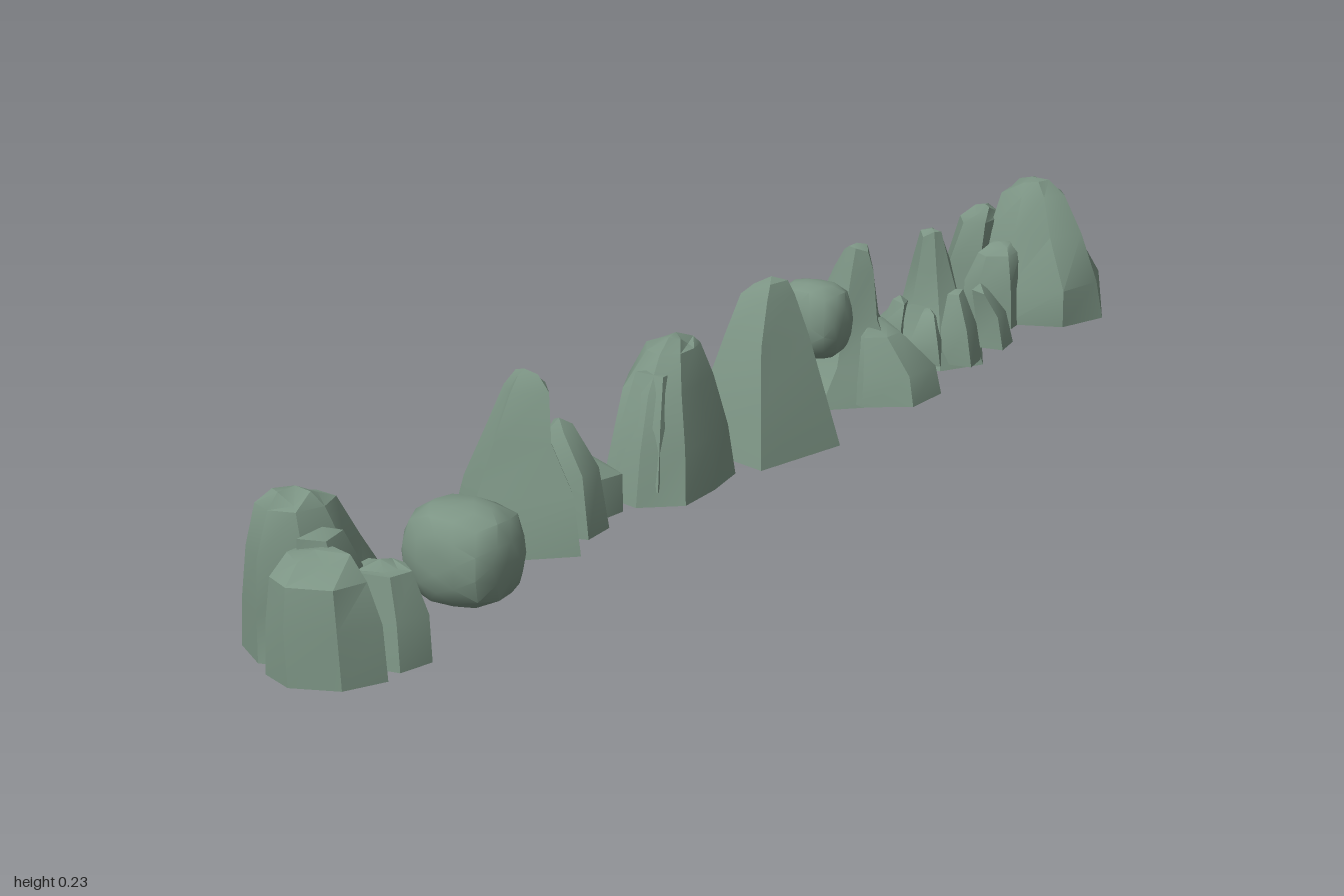
import * as THREE from 'three';
import { mergeVertices, toCreasedNormals } from 'three/addons/utils/BufferGeometryUtils.js';

const stone = new THREE.MeshStandardMaterial({ color: 0x7c9484 });
stone.name = 'grey green stone';

// Repeatable noise in -1..1 from a position
const noise = (x, y, z) => {
  const s = Math.sin(x * 127.1 + y * 311.7 + z * 74.7) * 43758.5453;
  return (s - Math.floor(s)) * 2 - 1;
};

function finish(geometry, name, crease) {
  const mesh = new THREE.Mesh(toCreasedNormals(geometry, crease), stone);
  mesh.name = name;
  return mesh;
}

// Crag: a footprint of [x, z] corners lofted through levels [y, scale, centreX, centreZ]
function crag(name, y0, corners, levels) {
  const n = corners.length;
  const cx = corners.reduce((s, p) => s + p[0], 0) / n;
  const cz = corners.reduce((s, p) => s + p[1], 0) / n;
  const foot = corners.map(([x, z]) => [x - cx, z - cz])
    .sort((a, b) => Math.atan2(a[1], a[0]) - Math.atan2(b[1], b[0]));
  const rings = [[y0, 1, cx, cz], ...levels];
  const pos = [], index = [];
  rings.forEach(([y, s, x, z], k) => foot.forEach(([px, pz], i) => {
    const r = k ? s * (1 + 0.1 * noise(i + cx, k, cz)) : s;
    const dy = k === rings.length - 1 ? 0.008 * (noise(i, k + cx, cz) - 1) : 0;
    pos.push(x + px * r, y + dy, z + pz * r);
  }));
  const last = rings.length - 1, top = rings[last];
  const bottomMid = pos.length / 3, topMid = bottomMid + 1;
  pos.push(cx, y0, cz, top[2], top[0], top[3]);
  for (let i = 0; i < n; i++) {
    const j = (i + 1) % n;
    for (let k = 0; k < last; k++) {
      const a = k * n + i, b = k * n + j;
      index.push(a, a + n, b, b, a + n, b + n);
    }
    index.push(bottomMid, i, j, topMid, last * n + j, last * n + i);
  }
  const g = new THREE.BufferGeometry();
  g.setAttribute('position', new THREE.Float32BufferAttribute(pos, 3));
  g.setIndex(index);
  return finish(g, name, 0.6);
}

// Boulder: a roughened ball, squared off slightly
function boulder(name, [x, y, z], [rx, ry, rz]) {
  let g = new THREE.IcosahedronGeometry(1, 2);
  g.deleteAttribute('normal');
  g.deleteAttribute('uv');
  g = mergeVertices(g, 1e-3);
  const p = g.attributes.position, v = new THREE.Vector3();
  for (let i = 0; i < p.count; i++) {
    v.fromBufferAttribute(p, i);
    const q = Math.pow(v.x ** 4 + v.y ** 4 + v.z ** 4, -0.16);
    v.multiplyScalar(Math.min(q, 1.18) * 0.92 * (1 + 0.025 * noise(i, x, z)));
    p.setXYZ(i, x + v.x * rx, y + v.y * ry, z + v.z * rz);
  }
  return finish(g, name, 0.7);
}

function cluster(name, ...parts) {
  const group = new THREE.Group();
  group.name = name;
  group.add(...parts);
  return group;
}

export function createModel() {
  const model = new THREE.Group();
  model.name = 'rockRow';
  model.add(
    cluster('frontRock',
      crag('mainCrag', 0.012,
        [[-0.09, 0.79], [-0.03, 0.75], [0.04, 0.77], [0.06, 0.85], [0.04, 0.93], [-0.03, 0.95], [-0.085, 0.91]],
        [[0.07, 0.95, -0.015, 0.85], [0.14, 0.72, -0.015, 0.87], [0.195, 0.5, -0.015, 0.885], [0.215, 0.3, -0.015, 0.89]]),
      crag('sideShoulder', 0.012,
        [[0.03, 0.82], [0.1, 0.805], [0.14, 0.84], [0.13, 0.89], [0.04, 0.9]],
        [[0.07, 0.9, 0.085, 0.85], [0.12, 0.65, 0.08, 0.85], [0.13, 0.4, 0.075, 0.85]]),
      crag('frontShoulder', 0.012,
        [[-0.01, 0.92], [0.05, 0.88], [0.135, 0.92], [0.11, 0.975], [0.05, 0.998], [0, 0.975]],
        [[0.08, 0.93, 0.052, 0.945], [0.13, 0.82, 0.05, 0.945], [0.16, 0.5, 0.045, 0.935]]),
      crag('upperRidge', 0.03,
        [[0, 0.84], [0.06, 0.85], [0.07, 0.92], [0.02, 0.95]],
        [[0.12, 0.85, 0.035, 0.89], [0.175, 0.55, 0.03, 0.9]])),

    cluster('roundRock', boulder('roundBoulder', [0.035, 0.07, 0.627], [0.079, 0.07, 0.069])),

    cluster('squareRock',
      crag('mainCrag', 0.006,
        [[-0.145, 0.405], [-0.09, 0.465], [-0.05, 0.515], [0.06, 0.41], [-0.03, 0.3]],
        [[0.08, 0.8, -0.052, 0.41], [0.14, 0.52, -0.05, 0.395], [0.2, 0.32, -0.05, 0.375], [0.225, 0.17, -0.05, 0.37]]),
      crag('backShoulder', 0.03,
        [[-0.1, 0.31], [-0.07, 0.275], [0, 0.26], [0.045, 0.29], [0.04, 0.35], [-0.06, 0.36]],
        [[0.08, 0.85, -0.02, 0.305], [0.11, 0.45, -0.02, 0.315]]),
      crag('sideSpur', 0.02,
        [[-0.02, 0.33], [0.05, 0.33], [0.055, 0.385], [0, 0.4]],
        [[0.1, 0.85, 0.015, 0.36], [0.165, 0.4, -0.005, 0.36]]),
      crag('ridge', 0.03,
        [[-0.115, 0.33], [-0.06, 0.31], [-0.05, 0.38], [-0.12, 0.38]],
        [[0.11, 0.8, -0.08, 0.35], [0.17, 0.4, -0.07, 0.36]])),

    cluster('slabRock',
      crag('mainCrag', 0.012,
        [[-0.05, 0.03], [0.05, 0.025], [0.065, 0.1], [0.07, 0.18], [0.02, 0.222], [-0.05, 0.2], [-0.095, 0.11]],
        [[0.08, 0.88, 0, 0.115], [0.15, 0.67, -0.005, 0.105], [0.195, 0.42, -0.005, 0.095], [0.213, 0.24, -0.005, 0.085]]),
      crag('frontFace', 0.03,
        [[-0.03, 0.13], [0.04, 0.13], [0.04, 0.2], [-0.025, 0.205]],
        [[0.11, 0.85, 0.005, 0.155], [0.175, 0.6, 0, 0.135]])),

    cluster('leaningRock',
      crag('mainCrag', 0.01,
        [[-0.07, -0.055], [0.07, -0.008], [0.1, -0.165], [-0.035, -0.208]],
        [[0.09, 0.8, 0.01, -0.115], [0.16, 0.57, 0, -0.13], [0.215, 0.36, 0, -0.142], [0.238, 0.24, 0, -0.148]]),
      crag('sideRidge', 0.02,
        [[-0.075, -0.14], [-0.03, -0.205], [0.02, -0.19], [0.01, -0.09], [-0.06, -0.07]],
        [[0.1, 0.8, -0.025, -0.145], [0.18, 0.5, -0.015, -0.15]])),

    cluster('perchedRock',
      crag('mainCrag', 0.015,
        [[-0.14, -0.33], [-0.09, -0.42], [0.03, -0.45], [0.08, -0.36], [0, -0.28], [-0.08, -0.29]],
        [[0.07, 0.75, -0.015, -0.365], [0.13, 0.46, -0.01, -0.37], [0.2, 0.28, 0, -0.37], [0.238, 0.15, 0.005, -0.37]]),
      crag('backShoulder', 0.02,
        [[0, -0.42], [0.05, -0.475], [0.11, -0.43], [0.11, -0.35], [0.05, -0.31], [0, -0.34]],
        [[0.06, 0.85, 0.05, -0.39], [0.11, 0.45, 0.035, -0.38], [0.13, 0.25, 0.03, -0.38]]),
      crag('sideSpur', 0.03,
        [[-0.11, -0.4], [-0.05, -0.445], [-0.02, -0.37], [-0.09, -0.33]],
        [[0.1, 0.75, -0.055, -0.385], [0.16, 0.4, -0.04, -0.38]]),
      boulder('perchedBoulder', [-0.018, 0.143, -0.292], [0.057, 0.06, 0.05])),

    cluster('spikedRock',
      crag('mainCrag', 0.018,
        [[-0.13, -0.615], [-0.05, -0.69], [0.04, -0.68], [0.085, -0.6], [0.05, -0.535], [-0.05, -0.545]],
        [[0.055, 0.75, -0.005, -0.61], [0.1, 0.46, 0, -0.605], [0.16, 0.31, 0, -0.6], [0.21, 0.18, 0, -0.597]]),
      ...[[0.055, -0.68, 0.12], [0.06, -0.575, 0.13], [-0.05, -0.57, 0.11], [-0.045, -0.65, 0.14], [0.02, -0.555, 0.1]]
        .map(([x, z, h]) => crag('spur', 0.025,
          [[x - 0.03, z - 0.025], [x + 0.02, z - 0.03], [x + 0.03, z + 0.02], [x - 0.015, z + 0.025]],
          [[h * 0.6, 0.85, x * 0.95, z], [h, 0.4, x * 0.8, z * 0.8 - 0.12]]))),

    cluster('backRock',
      crag('mainCrag', 0.025,
        [[-0.08, -0.93], [-0.01, -0.98], [0.09, -0.96], [0.125, -0.9], [0.1, -0.82], [0.02, -0.79], [-0.07, -0.82]],
        [[0.08, 0.92, 0.025, -0.885], [0.15, 0.66, 0.015, -0.89], [0.205, 0.42, 0.01, -0.895], [0.228, 0.28, 0.005, -0.895]]),
      crag('frontShoulder', 0.025,
        [[-0.04, -0.82], [0.03, -0.84], [0.04, -0.77], [-0.005, -0.745], [-0.04, -0.765]],
        [[0.09, 0.9, -0.003, -0.79], [0.13, 0.65, -0.003, -0.8], [0.145, 0.35, -0.003, -0.81]]),
      crag('sideShoulder', 0.025,
        [[-0.12, -0.84], [-0.09, -0.9], [-0.03, -0.89], [-0.03, -0.8], [-0.08, -0.77]],
        [[0.1, 0.85, -0.07, -0.845], [0.165, 0.6, -0.06, -0.85], [0.185, 0.35, -0.055, -0.86]]),
      boulder('backBoulder', [-0.088, 0.075, -0.955], [0.045, 0.043, 0.046])));
  return model;
}
